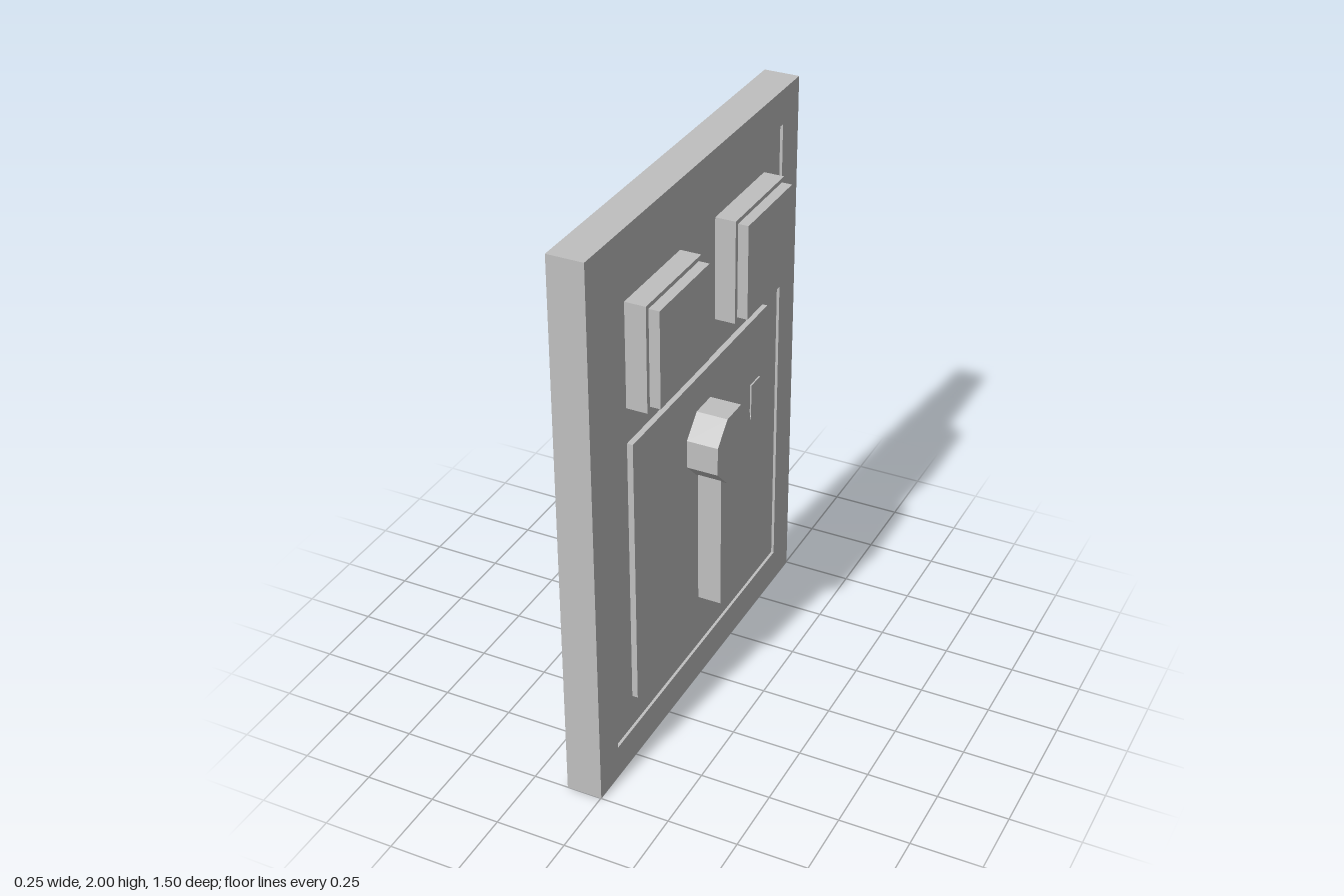
import * as THREE from 'three';

const grey = new THREE.MeshStandardMaterial({ color: 0xc0c0c0 });
grey.name = 'plain grey';

export function createModel() {
  const model = new THREE.Group();
  model.name = 'wallPanel';

  const add = (name, geometry) => {
    const mesh = new THREE.Mesh(geometry, grey);
    mesh.name = name;
    model.add(mesh);
    return mesh;
  };

  // Box given by its limits along x, y and z
  const block = (name, x0, x1, y0, y1, z0, z1) =>
    add(name, new THREE.BoxGeometry(x1 - x0, y1 - y0, z1 - z0))
      .position.set((x0 + x1) / 2, (y0 + y1) / 2, (z0 + z1) / 2);

  // Outline drawn as seen from +x (u = -z, v = y), extruded along x
  const plate = (name, shape, x0, x1) => {
    const g = new THREE.ExtrudeGeometry(shape, { depth: x1 - x0, bevelEnabled: false });
    g.rotateY(Math.PI / 2);
    g.translate(x0, 0, 0);
    return add(name, g);
  };
  const outline = (points) => new THREE.Shape(points.map(([u, v]) => new THREE.Vector2(u, v)));
  const rect = (u, v0, v1) => [[-u, v0], [u, v0], [u, v1], [-u, v1]];

  // Border frame around a core that is slightly sunk on both faces
  const border = outline(rect(0.75, 0, 2));
  border.holes.push(outline(rect(0.625, 0.125, 1.875)));
  plate('frame', border, -0.125, 0.002);
  block('core', -0.119, -0.008, 0.125, 1.875, -0.625, 0.625);

  // Two square buttons with smaller caps
  for (const side of [1, -1]) {
    const a = side * 0.3125;
    const name = side > 0 ? 'left' : 'right';
    block(name + 'ButtonBase', -0.01, 0.065, 1.378, 1.75, a - 0.187, a + 0.187);
    block(name + 'ButtonCap', 0.064, 0.102, 1.394, 1.735, a - 0.17, a + 0.17);
  }

  // Lever plate with a raised quarter-arc track
  block('leverPlate', -0.01, 0.0125, 0.25, 1.25, -0.5, 0.5);
  const arc = (r) => [[r, 0], [r, -r / 3], [r * 0.75, -r * 0.75], [r / 3, -r], [0, -r]];
  const track = [...arc(0.44), ...arc(0.367).reverse()].map(([u, v]) => [u, v + 1]);
  plate('leverTrack', outline(track), 0.01, 0.018);

  // Octagonal pivot and the lever hanging from it
  const octagon = [];
  for (let i = 0; i < 8; i++) {
    const t = (i + 0.5) * Math.PI / 4, r = 0.125 / Math.cos(Math.PI / 8);
    octagon.push([r * Math.cos(t), 1 + r * Math.sin(t)]);
  }
  plate('leverPivot', outline(octagon), 0.012, 0.125);
  block('leverArm', 0.023, 0.108, 0.38, 0.89, -0.0625, 0.0625);

  return model;
}
